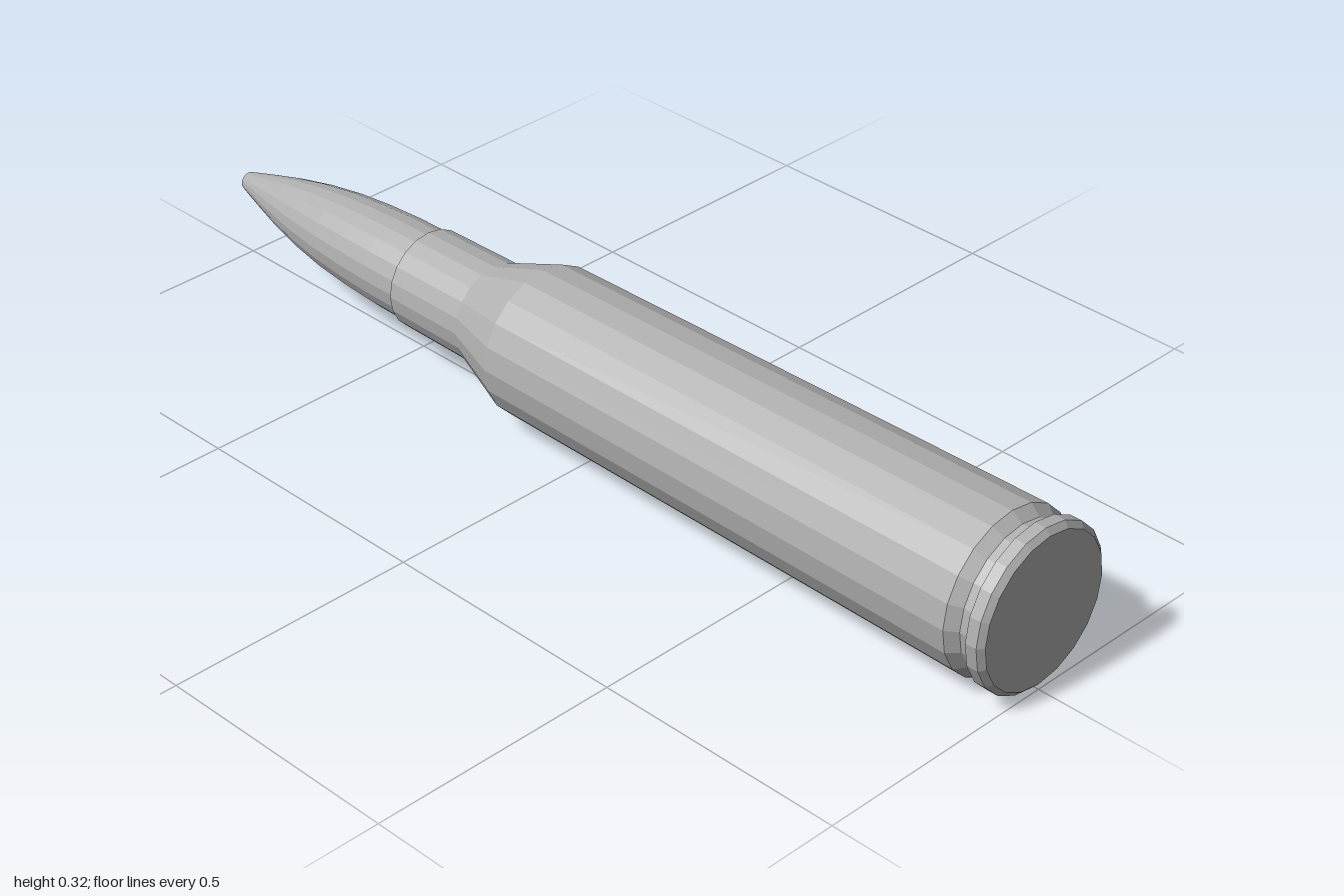
import * as THREE from 'three';

const SIDES = 20;
const AXIS_Y = 0.158;

export function createModel() {
  const model = new THREE.Group();
  model.name = 'cartridge';
  const steel = new THREE.MeshStandardMaterial({ color: 0xb0b0b0, flatShading: true });
  steel.name = 'grey metal';

  // Turns a list of [radius, z] points, running from base to tip, about the long axis
  function turned(name, profile) {
    const points = profile.map(([r, z]) => new THREE.Vector2(r, -z));
    const geometry = new THREE.LatheGeometry(points, SIDES);
    geometry.rotateX(-Math.PI / 2);
    geometry.translate(0, AXIS_Y, 0);
    const mesh = new THREE.Mesh(geometry, steel);
    mesh.name = name;
    model.add(mesh);
  }

  // Base rim with a chamfered edge, and the groove in front of it
  turned('rim', [[0, 1], [0.147, 1], [0.158, 0.99], [0.158, 0.967], [0.142, 0.965]]);
  turned('extractorGroove', [[0.142, 0.965], [0.142, 0.942], [0.158, 0.92]]);

  // Slightly tapered body, sloped shoulder, neck and its open lip
  turned('caseBody', [[0.158, 0.92], [0.147, -0.17]]);
  turned('shoulder', [[0.147, -0.17], [0.1, -0.3]]);
  turned('neck', [[0.1, -0.3], [0.098, -0.478], [0.09, -0.478]]);

  // Curved projectile with a small flat tip
  turned('projectile', [
    [0.092, -0.47], [0.091, -0.56], [0.087, -0.64], [0.08, -0.72], [0.068, -0.8],
    [0.052, -0.875], [0.035, -0.94], [0.018, -1], [0, -1],
  ]);

  return model;
}
